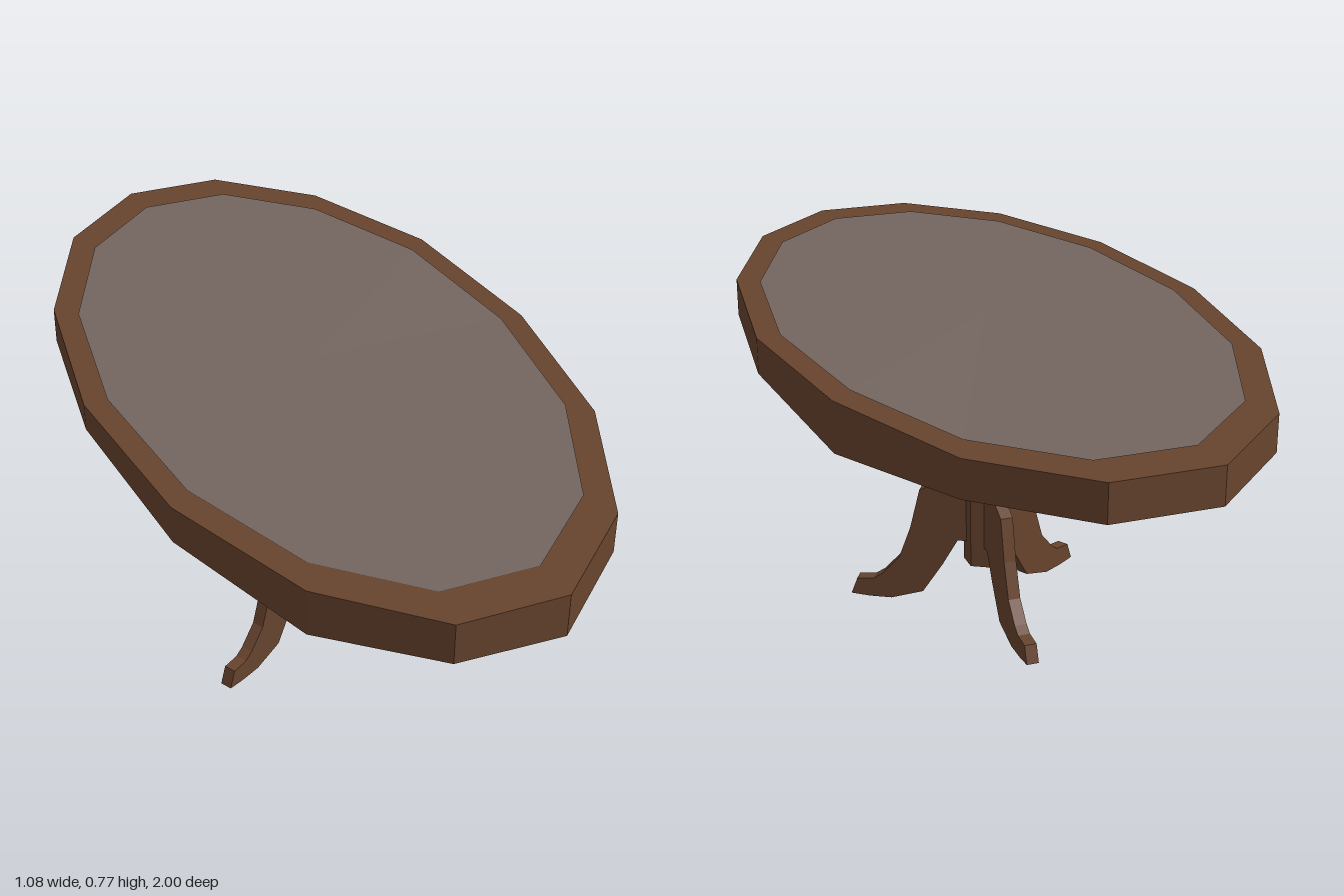
import * as THREE from 'three';

const wood = new THREE.MeshStandardMaterial({ name: 'brownWood', color: 0x68442e, flatShading: true });
const inlay = new THREE.MeshStandardMaterial({ name: 'greyInlay', color: 0x74655f, flatShading: true });

const SIDES = 14;
const TOP = 0.763;
// Uneven lower edge of the top, counter-clockwise from the left side (+x)
const UNDERSIDE = [0.678, 0.652, 0.678, 0.678, 0.678, 0.678, 0.678, 0.7, 0.677, 0.658, 0.67, 0.664, 0.668, 0.672];

function addMesh(parent, name, geometry, material) {
  const mesh = new THREE.Mesh(geometry, material);
  mesh.name = name;
  parent.add(mesh);
  return mesh;
}

// Stretches a unit disc or drum into the hand-cut oval
function shapeOval(geometry, lift = 0) {
  const p = geometry.attributes.position;
  for (let i = 0; i < p.count; i++) {
    const x = p.getX(i), z = p.getZ(i), r = Math.hypot(x, z);
    const k = (Math.round(Math.atan2(-z, x) / (2 * Math.PI / SIDES)) + SIDES) % SIDES;
    const upper = TOP + (k === 1 ? 0.005 * r : 0) + lift;
    const lower = r < 0.01 ? 0.672 : UNDERSIDE[k];
    p.setXYZ(i, x * 0.54, p.getY(i) < -0.1 ? lower : upper, z * 1.026);
  }
  geometry.computeVertexNormals();
  return geometry;
}

// Six-sided turned section between two heights
function turned(y0, r0, y1, r1) {
  return new THREE.CylinderGeometry(r1, r0, y1 - y0, 6).translate(0, (y0 + y1) / 2, 0);
}

export function createModel() {
  const table = new THREE.Group();
  table.name = 'ovalTable';

  // Table top with a thin inlay panel
  const slab = new THREE.CylinderGeometry(1, 1, 1, SIDES, 1, false, Math.PI / 2);
  addMesh(table, 'tableTop', shapeOval(slab), wood);
  const panel = new THREE.CircleGeometry(0.9, SIDES).rotateX(-Math.PI / 2);
  addMesh(table, 'topInlay', shapeOval(panel, 0.002), inlay);

  // Pedestal
  addMesh(table, 'column', turned(0.122, 0.05, 0.36, 0.05), wood);
  const beads = [[0.36, 0.05], [0.415, 0.1], [0.482, 0.067], [0.53, 0.1], [0.585, 0.068]];
  const baluster = new THREE.Group();
  baluster.name = 'baluster';
  table.add(baluster);
  for (let i = 0; i < beads.length - 1; i++) {
    addMesh(baluster, 'bead', turned(...beads[i], ...beads[i + 1]), inlay);
  }
  addMesh(table, 'neck', turned(0.585, 0.068, 0.61, 0.042), wood);

  // Flared support, longer from front to back
  const flare = turned(0.61, 0.042, 0.675, 0.11);
  const p = flare.attributes.position;
  for (let i = 0; i < p.count; i++) {
    if (p.getY(i) > 0.64) p.setZ(i, p.getZ(i) * 1.95);
  }
  flare.computeVertexNormals();
  addMesh(table, 'flaredSupport', flare, wood);

  // Three curved legs, one pointing backwards
  const profile = [
    [0.03, 0.345], [0.11, 0.328], [0.158, 0.302], [0.182, 0.2], [0.212, 0.115], [0.255, 0.068],
    [0.277, 0.053], [0.32, 0.049], [0.336, 0.006], [0.29, 0.002], [0.233, 0.002], [0.152, 0.027],
    [0.102, 0.105], [0.063, 0.175], [0.03, 0.175],
  ];
  const outline = new THREE.Shape(profile.map(([x, y]) => new THREE.Vector2(x, y)));
  const legGeometry = new THREE.ExtrudeGeometry(outline, { depth: 0.03, bevelEnabled: false });
  legGeometry.translate(0, 0, -0.015);
  for (let i = 0; i < 3; i++) {
    const leg = addMesh(table, 'leg', legGeometry, wood);
    leg.rotation.y = Math.PI / 2 + i * 2 * Math.PI / 3;
  }

  return table;
}
